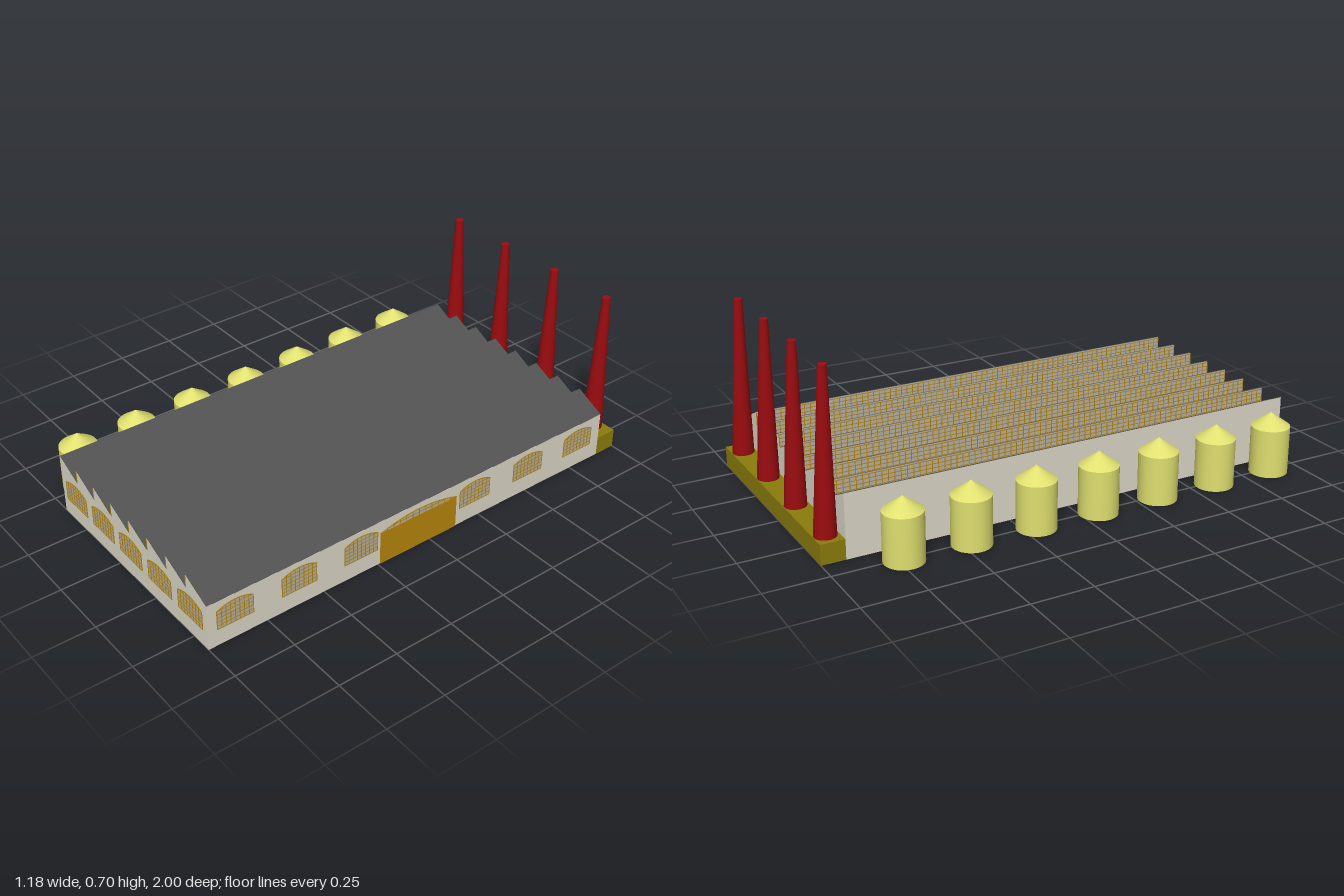
import * as THREE from 'three';
import { mergeGeometries } from 'three/addons/utils/BufferGeometryUtils.js';

const mat = (color) => new THREE.MeshStandardMaterial({ color });
const wallMat = mat(0xdcd8c8), roofMat = mat(0x525252), goldMat = mat(0xb8860b);
const glassMat = mat(0xb4b2ac), tankMat = mat(0xe0e070), brickMat = mat(0x9a0c10);
const plinthMat = mat(0x8c7d0c);

const X0 = -0.41, X1 = 0.59, ZB = -0.905, ZF = 1, EAVE = 0.195, PEAK = 0.255;
const TEETH = 8, TOOTH = (X1 - X0) / TEETH, LENGTH = ZF - ZB, ZMID = (ZF + ZB) / 2;

function add(parent, name, geometry, material, x = 0, y = 0, z = 0) {
  const mesh = new THREE.Mesh(geometry, material);
  mesh.name = name;
  mesh.position.set(x, y, z);
  parent.add(mesh);
  return mesh;
}

// Thin glazing bar between two points of the local xy plane
function bar(x1, y1, x2, y2, width = 0.003) {
  const g = new THREE.BoxGeometry(Math.hypot(x2 - x1, y2 - y1) + width, width, 0.003);
  g.rotateZ(Math.atan2(y2 - y1, x2 - x1));
  return g.translate((x1 + x2) / 2, (y1 + y2) / 2, 0);
}

// Window with a curved head: flat pane plus a grid of bars
function archedWindow(name, width, y0, side, top, cols, rows) {
  const group = new THREE.Group();
  group.name = name;
  const a = width / 2, s = top - side, R = (a * a + s * s) / (2 * s);
  const head = (x) => top - R + Math.sqrt(R * R - x * x);
  const arc = [];
  for (let i = 0; i <= 12; i++) {
    const x = a - (width * i) / 12;
    arc.push(new THREE.Vector2(x, head(x)));
  }
  const outline = side > y0 ? [new THREE.Vector2(-a, y0), new THREE.Vector2(a, y0), ...arc] : arc;
  add(group, 'pane', new THREE.ShapeGeometry(new THREE.Shape(outline)), glassMat, 0, 0, 0.001);

  const bars = [bar(-a, y0, a, y0)];
  for (let i = 0; i < 12; i++) bars.push(bar(arc[i].x, arc[i].y, arc[i + 1].x, arc[i + 1].y));
  for (let i = 0; i <= cols; i++) {
    const x = -a + (width * i) / cols;
    if (head(x) - y0 > 0.004) bars.push(bar(x, y0, x, head(x), 0.0025));
  }
  for (let j = 1; j < rows; j++) {
    const y = y0 + ((top - y0) * j) / rows;
    const c = y - top + R;
    const half = y <= side ? a : Math.sqrt(R * R - c * c);
    bars.push(bar(-half, y, half, y, 0.0025));
  }
  add(group, 'glazingBars', mergeGeometries(bars), goldMat, 0, 0, 0.001);
  return group;
}

function createHall() {
  const hall = new THREE.Group();
  hall.name = 'factoryHall';

  // Walls with sawtooth gables
  const profile = new THREE.Shape();
  profile.moveTo(X0, 0);
  profile.lineTo(X1, 0);
  profile.lineTo(X1, EAVE);
  for (let i = TEETH - 1; i >= 0; i--) {
    profile.lineTo(X0 + i * TOOTH, PEAK);
    if (i > 0) profile.lineTo(X0 + i * TOOTH, EAVE);
  }
  profile.closePath();
  const walls = new THREE.ExtrudeGeometry(profile, { depth: LENGTH, bevelEnabled: false });
  add(hall, 'walls', walls, wallMat, 0, 0, ZB);

  // Sloping roof sheets
  const rise = PEAK - EAVE;
  for (let i = 0; i < TEETH; i++) {
    const sheet = new THREE.BoxGeometry(Math.hypot(TOOTH, rise), 0.002, LENGTH);
    add(hall, 'roofSlope', sheet, roofMat, X0 + (i + 0.5) * TOOTH, (EAVE + PEAK) / 2 + 0.0006, ZMID)
      .rotation.z = -Math.atan2(rise, TOOTH);
  }

  // Strip skylights on the upright faces between the teeth
  const stripBars = [];
  for (let j = 0; j <= 3; j++) {
    const y = 0.006 + (j * (rise - 0.012)) / 3;
    stripBars.push(bar(-LENGTH / 2, y, LENGTH / 2, y));
  }
  for (let k = 0; k <= 76; k++) {
    const x = -LENGTH / 2 + (LENGTH * k) / 76;
    stripBars.push(bar(x, 0.006, x, rise - 0.006));
  }
  const stripGrid = mergeGeometries(stripBars);
  for (let i = 1; i < TEETH; i++) {
    const light = new THREE.Group();
    light.name = 'stripSkylight';
    add(light, 'pane', new THREE.PlaneGeometry(LENGTH, rise), glassMat, 0, rise / 2, 0.001);
    add(light, 'glazingBars', stripGrid, goldMat, 0, 0, 0.001);
    light.position.set(X0 + i * TOOTH, EAVE, ZMID);
    light.rotation.y = -Math.PI / 2;
    hall.add(light);
  }

  // Front windows
  for (let i = 0; i < 5; i++) {
    const w = archedWindow('frontWindow', 0.152, 0.073, 0.152, 0.171, 8, 6);
    w.position.set(-0.304 + i * 0.197, 0, ZF);
    hall.add(w);
  }

  // Side windows, and the gate with its curved fanlight
  const onSide = (part, z) => {
    part.position.set(X1, 0, z);
    part.rotation.y = Math.PI / 2;
    hall.add(part);
  };
  for (const z of [0.885, 0.61, 0.33, -0.225, -0.505, -0.78])
    onSide(archedWindow('sideWindow', 0.152, 0.073, 0.152, 0.171, 8, 6), z);
  onSide(archedWindow('gateFanlight', 0.37, 0.14, 0.14, 0.17, 12, 2), 0.055);
  add(hall, 'gate', new THREE.BoxGeometry(0.004, 0.14, 0.37), goldMat, X1 + 0.001, 0.07, 0.055);
  return hall;
}

function createTank() {
  const tank = new THREE.Group();
  tank.name = 'storageTank';
  const r = 0.077;
  add(tank, 'shell', new THREE.CylinderGeometry(r, r, EAVE, 32, 1, true), tankMat, 0, EAVE / 2);
  add(tank, 'conicalLid', new THREE.ConeGeometry(r, 0.056, 32, 1, true), tankMat, 0, EAVE + 0.028);
  add(tank, 'floor', new THREE.CircleGeometry(r, 32).rotateX(Math.PI / 2), roofMat);
  for (const y of [0.013, 0.175]) {
    const pipe = new THREE.CylinderGeometry(0.007, 0.007, 0.045, 12).rotateZ(Math.PI / 2);
    add(tank, 'pipe', pipe, tankMat, 0.085, y);
  }
  return tank;
}

// Tapered chimney whose top leans towards the hall
function createChimneyGeometry() {
  const h = 0.625, leanX = 0.027, leanZ = 0.029;
  const g = new THREE.CylinderGeometry(0.0165, 0.043, h, 24).translate(0, h / 2, 0);
  const p = g.attributes.position;
  for (let i = 0; i < p.count; i++) {
    const t = p.getY(i) / h;
    p.setX(i, p.getX(i) + leanX * t);
    p.setZ(i, p.getZ(i) + leanZ * t);
  }
  return g;
}

export function createModel() {
  const model = new THREE.Group();
  model.name = 'factory';
  model.add(createHall());

  // Row of tanks along the right wall
  for (let i = 0; i < 7; i++) {
    const tank = createTank();
    tank.position.set(-0.513, 0, -0.73 + i * 0.2667);
    model.add(tank);
  }

  // Plinth with four chimneys behind the hall
  const depth = ZB + 1;
  add(model, 'chimneyPlinth', new THREE.BoxGeometry(X1 - X0, 0.08, depth), plinthMat,
    (X0 + X1) / 2, 0.04, -1 + depth / 2);
  const chimney = createChimneyGeometry();
  for (let i = 0; i < 4; i++)
    add(model, 'chimney', chimney, brickMat, -0.347 + i * 0.2845, 0.08, -0.955);
  return model;
}
